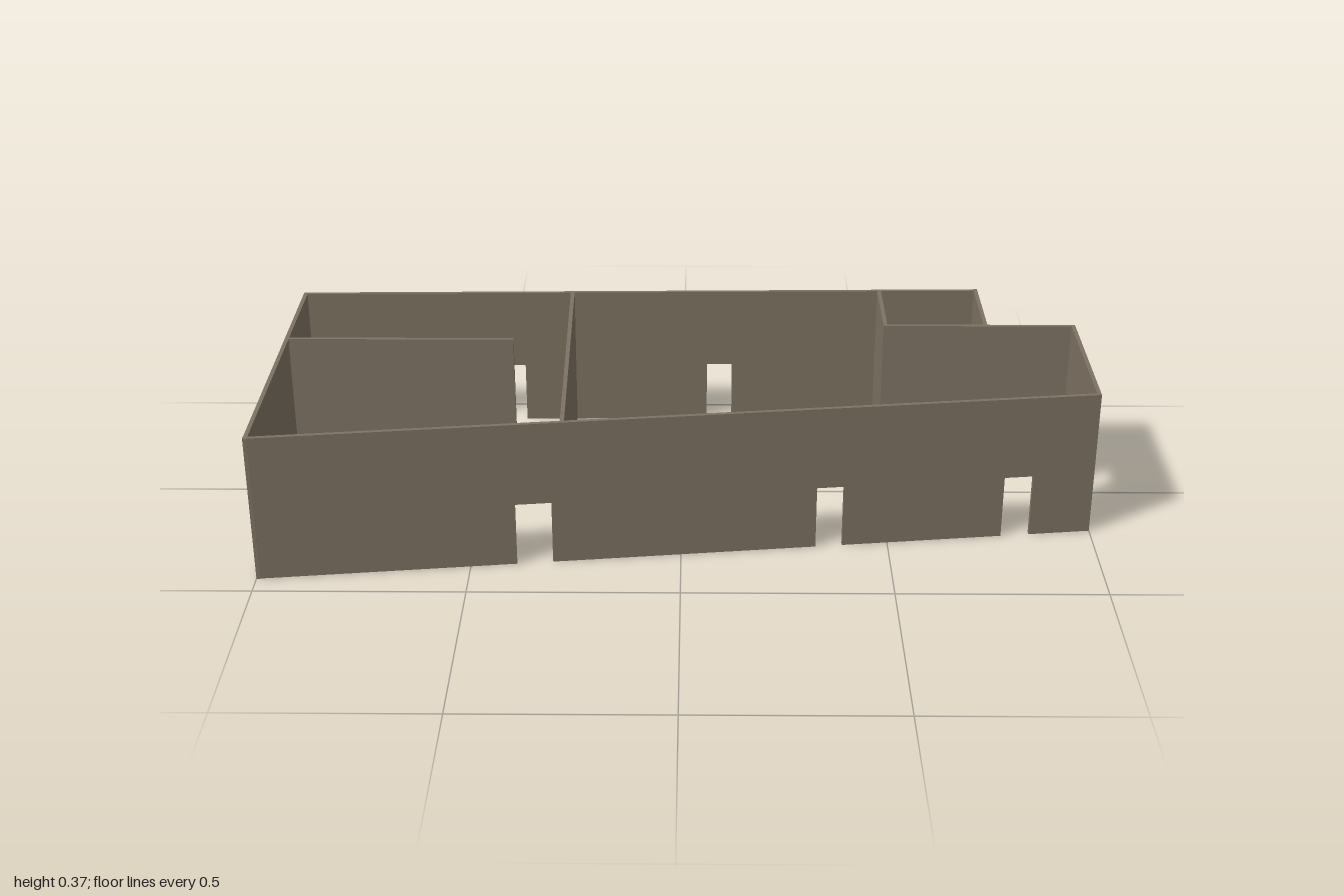
import * as THREE from 'three';

const H = 0.37;     // wall height
const T = 0.01;     // wall thickness
const DOOR = 0.16;  // top of every opening

const plaster = new THREE.MeshStandardMaterial({ color: 0x7d7262 });
plaster.name = 'taupePlaster';

// Upright wall from a to b ([x, z] points), thickened to the right-hand side of its run.
// Openings are [from, to, sill] along the wall's main axis, listed in order from a to b.
function wall(name, a, b, openings = []) {
  const dx = b[0] - a[0], dz = b[1] - a[1];
  const length = Math.hypot(dx, dz);
  const axis = Math.abs(dx) > Math.abs(dz) ? 0 : 1;
  const along = (v) => ((v - a[axis]) / (b[axis] - a[axis])) * length;

  const shape = new THREE.Shape();
  shape.moveTo(0, 0);
  for (const [from, to, sill = 0] of openings) {
    const s = along(from), e = along(to);
    if (sill > 0) {
      // window: closed hole
      const hole = new THREE.Path();
      hole.moveTo(s, sill);
      hole.lineTo(s, DOOR);
      hole.lineTo(e, DOOR);
      hole.lineTo(e, sill);
      hole.closePath();
      shape.holes.push(hole);
    } else {
      // doorway: notch in the bottom edge
      shape.lineTo(s, 0);
      shape.lineTo(s, DOOR);
      shape.lineTo(e, DOOR);
      shape.lineTo(e, 0);
    }
  }
  shape.lineTo(length, 0);
  shape.lineTo(length, H);
  shape.lineTo(0, H);
  shape.closePath();

  const geometry = new THREE.ExtrudeGeometry(shape, { depth: T, bevelEnabled: false });
  const mesh = new THREE.Mesh(geometry, plaster);
  mesh.name = name;
  mesh.position.set(a[0], 0, a[1]);
  mesh.rotation.y = Math.atan2(-dz, dx);
  return mesh;
}

export function createModel() {
  const model = new THREE.Group();
  model.name = 'floorPlanWalls';

  // Outer corners
  const backLeft = [-1, -0.408], backRight = [0.777, -0.445];
  const notchInner = [0.777, -0.213], notchOuter = [1, -0.213];
  const frontRight = [1, 0.197], frontLeft = [-1, 0.444];

  model.add(
    // Outer shell
    wall('backWall', backLeft, backRight, [[-0.555, -0.423], [0.063, 0.13]]),
    wall('notchSideWall', backRight, [notchInner[0], notchInner[1] + T]),
    wall('notchBackWall', [notchInner[0] - T, notchInner[1]], notchOuter),
    wall('sideWall', notchOuter, frontRight, [[-0.055, 0.015]]),
    wall('frontWall', frontRight, frontLeft, [[0.85, 0.78], [0.39, 0.325], [-0.305, -0.39]]),
    wall('endWall', frontLeft, backLeft),
    // Inner partitions
    wall('crossPartition', [-0.287, -0.418], [-0.271, 0.35], [[-0.008, 0.222, 0.08]]),
    wall('shortPartition', [-0.995, -0.12], [-0.425, -0.12]),
    // Corner closet
    wall('closetSideWall', [0.522, -0.436], [0.522, -0.203]),
    wall('closetFrontWall', [0.512, -0.213], [0.777, -0.213], [[0.61, 0.67]])
  );
  return model;
}
